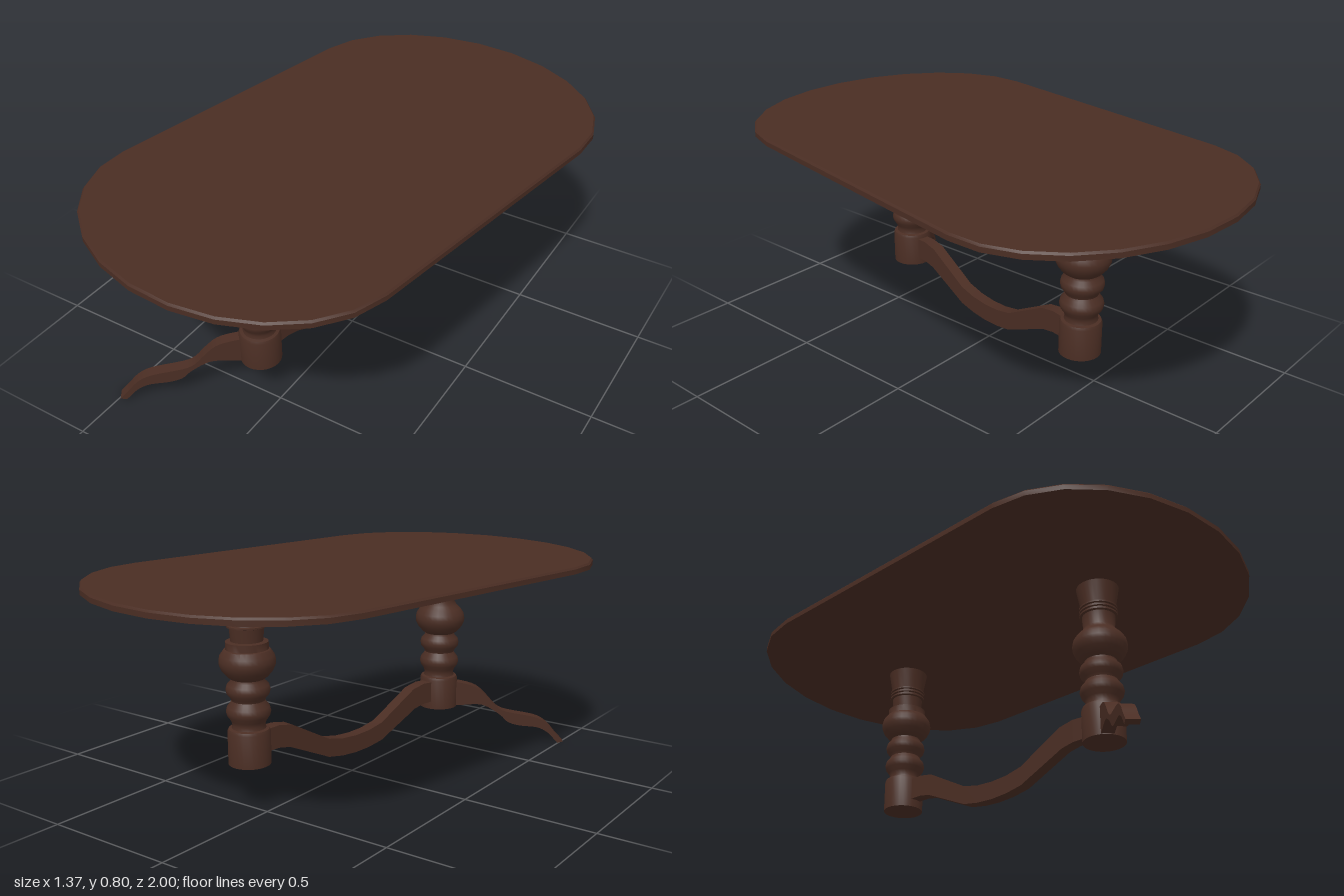
import * as THREE from 'three';
import { toCreasedNormals } from 'three/addons/utils/BufferGeometryUtils.js';

const wood = new THREE.MeshStandardMaterial({ color: 0x4a2d23 });
wood.name = 'dark brown wood';

const TURN = -0.168; // the whole table stands slightly askew

function part(name, geometry, crease = 0.6) {
  const mesh = new THREE.Mesh(toCreasedNormals(geometry, crease), wood);
  mesh.name = name;
  return mesh;
}

const vectors = (list) => list.map(([x, y]) => new THREE.Vector2(x, y));

// Flat board cut from a side profile, centred on its thickness
function board(outline, width) {
  const g = new THREE.ExtrudeGeometry(new THREE.Shape(outline), { depth: width, bevelEnabled: false });
  return g.translate(0, 0, -width / 2);
}

const smooth = (list, n) => new THREE.SplineCurve(vectors(list)).getPoints(n);

// Oval top: straight sides with half-ellipse ends, top edge chamfered
function tableTop() {
  const outline = [];
  for (const end of [1, -1]) {
    for (let i = 0; i <= 12; i++) {
      const a = (i * Math.PI) / 12;
      outline.push([end * 0.603 * Math.cos(a), end * (0.537 + 0.467 * Math.sin(a))]);
    }
  }
  const g = new THREE.ExtrudeGeometry(new THREE.Shape(vectors(outline)), {
    depth: 0.018, bevelThickness: 0.007, bevelSize: 0.006, bevelOffset: -0.006, bevelSegments: 1,
  });
  g.rotateX(-Math.PI / 2);
  // Flatten the lower chamfer so the underside edge is square
  const p = g.attributes.position;
  for (let i = 0; i < p.count; i++) p.setY(i, Math.max(p.getY(i), 0));
  g.translate(0, 0.772, 0).rotateY(TURN);
  return part('tableTop', g, 0.4);
}

// Turned column, from the base block up
function column(name, x, z, hasCollar) {
  const profile = [
    [0, 0.16], [0.075, 0.16], [0.075, 0.278], [0.071, 0.288], [0.06, 0.291], [0.057, 0.303],
    [0.062, 0.318], [0.074, 0.335], [0.078, 0.35], [0.074, 0.366], [0.062, 0.381], [0.058, 0.389],
    [0.062, 0.399], [0.074, 0.413], [0.077, 0.428], [0.073, 0.444], [0.06, 0.457], [0.058, 0.466],
    [0.07, 0.474], [0.088, 0.495], [0.097, 0.515], [0.098, 0.53], [0.094, 0.548], [0.08, 0.568],
    ...(hasCollar ? [[0.074, 0.57], [0.074, 0.596], [0.056, 0.598]] : [[0.066, 0.581], [0.056, 0.598]]),
    [0.06, 0.645],
  ];
  for (const y of [0.65, 0.664, 0.678]) {
    profile.push([0.062, y - 0.005], [0.069, y - 0.003], [0.069, y + 0.003], [0.063, y + 0.005]);
  }
  profile.push([0.077, 0.762], [0, 0.762]);
  const mesh = part(name, new THREE.LatheGeometry(vectors(profile), 28), 0.65);
  mesh.position.set(x, 0, z);
  return mesh;
}

// Sagging rail that joins the two columns
function stretcher() {
  const top = [[0.46, 0.27], [0.38, 0.275], [0.32, 0.264], [0.14, 0.167], [0.07, 0.152]];
  const bottom = [[0.46, 0.19], [0.38, 0.191], [0.33, 0.182], [0.14, 0.096], [0.07, 0.084]];
  const mirrored = (half, middle) => [
    ...half, [0, middle], ...half.map(([x, y]) => [-x, y]).reverse(),
  ];
  const outline = [...vectors(mirrored(top, 0.148)), ...vectors(mirrored(bottom, 0.08)).reverse()];
  return part('stretcher', board(outline, 0.045).rotateY(Math.PI / 2 + TURN), 0.5);
}

// Wavy foot that slopes from the front column to the floor
function foot() {
  const top = smooth([[0, 0.268], [0.03, 0.267], [0.1, 0.256], [0.156, 0.237], [0.2, 0.197],
    [0.238, 0.155], [0.283, 0.134], [0.396, 0.112], [0.45, 0.083], [0.488, 0.039], [0.519, 0.006]], 30);
  const bottom = smooth([[0.496, 0], [0.452, 0.046], [0.406, 0.068], [0.338, 0.075], [0.288, 0.09],
    [0.257, 0.119], [0.201, 0.156], [0.157, 0.167], [0.08, 0.163], [0, 0.163]], 30);
  const mesh = part('foot', board([...top, ...bottom], 0.045).rotateY(Math.atan2(-0.584, -0.81)));
  mesh.position.set(-0.083, 0, 0.49);
  return mesh;
}

export function createModel() {
  const table = new THREE.Group();
  table.name = 'table';
  table.add(
    tableTop(),
    column('frontColumn', -0.083, 0.49, false),
    column('backColumn', 0.083, -0.49, true),
    stretcher(),
    foot(),
  );
  return table;
}
